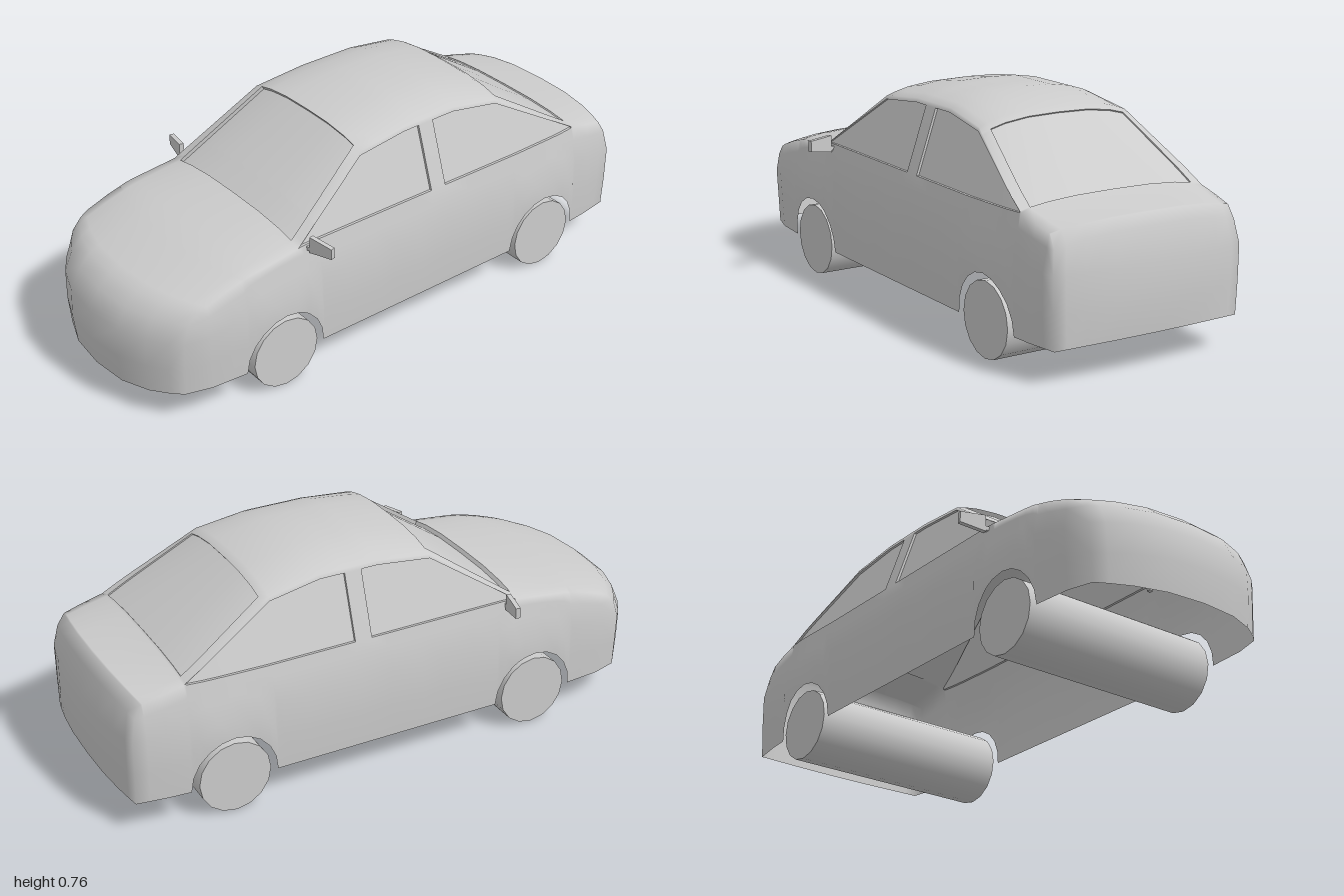
import * as THREE from 'three';
import { mergeVertices } from 'three/addons/utils/BufferGeometryUtils.js';

const material = new THREE.MeshStandardMaterial({ color: 0xcccccc, side: THREE.DoubleSide });

// Piecewise linear curve through ascending [input, output] pairs
function curve(pts) {
  return (t) => {
    if (t <= pts[0][0]) return pts[0][1];
    for (let i = 1; i < pts.length; i++) {
      const [a, va] = pts[i - 1], [b, vb] = pts[i];
      if (t <= b) return va + ((vb - va) * (t - a)) / (b - a);
    }
    return pts[pts.length - 1][1];
  };
}
const lerp = THREE.MathUtils.lerp;

// Body lines as functions of z
const roofline = curve([[-0.95, 0.485], [-0.78, 0.51], [-0.45, 0.725], [-0.27, 0.76], [-0.06, 0.76],
  [0.06, 0.745], [0.13, 0.73], [0.43, 0.522], [0.65, 0.485], [0.83, 0.44], [0.92, 0.405]]);
const belt = curve([[-0.92, 0.455], [-0.78, 0.49], [-0.5, 0.485], [0.4, 0.49], [0.62, 0.465], [0.74, 0.435], [0.81, 0.405]]);
const railCurve = curve([[-0.775, 0.49], [-0.45, 0.685], [-0.27, 0.715], [-0.06, 0.715], [0.13, 0.695], [0.43, 0.486]]);
const rail = (z) => (z > 0.42 || z < -0.77 ? belt(z) : Math.max(belt(z), railCurve(z)));
const bow = curve([[-0.915, -0.03], [-0.775, 0], [0.43, 0], [0.815, 0.1]]);
const plan = curve([[-0.96, 0.92], [-0.85, 0.965], [-0.7, 1], [0.6, 1], [0.78, 0.96], [0.87, 0.89]]);
const flank = curve([[0.1, 0.37], [0.32, 0.382], [0.49, 0.348]]);
const sideX = (y, z) => flank(y) * plan(z);

// Stations along the car, with extra ones around the wheel arches
const AXLES = [0.5, -0.625], ARCH = 0.15;
const archStations = AXLES.flatMap((c) => Array.from({ length: 11 }, (_, i) => c + ARCH * Math.cos((i * Math.PI) / 10)));
const stations = [0.865, 0.78, 0.7, 0.43, 0.25, 0.13, 0.06, -0.06, -0.12, -0.18, -0.27, -0.36, -0.45,
  -0.85, -0.91, -0.955, ...archStations].sort((a, b) => b - a);
const LAST = stations.length - 1;

function sill(z) {
  for (const c of AXLES) {
    const d = (z - c) / ARCH;
    if (Math.abs(d) < 1) return 0.11 + 0.165 * Math.sqrt(1 - d * d);
  }
  return 0.11;
}

const HEIGHTS = [0, 0.32, 0.66, 0.88, 1];
const ACROSS = [1, 0.89, 0.7, 0.4, 0, -0.4, -0.7, -0.89, -1];
const mirrorX = ([x, y, z]) => [-x, y, z];

// One side of a section: sill up to belt, then window band up to the roof rail
function flankPoints(k) {
  const lean = k === 0 ? [0, 0, 0, -0.02, -0.055] : k === LAST ? [0, 0, 0, 0.015, 0.04] : [0, 0, 0, 0, 0];
  const zTop = stations[k] + lean[4], by = belt(zTop), y0 = sill(stations[k]);
  const pts = HEIGHTS.map((h, r) => {
    const z = stations[k] + lean[r], y = lerp(y0, by, h);
    return [sideX(y, z), y, z];
  });
  const bx = pts[4][0], ry = rail(zTop), rx = bx - (0.075 * (ry - by)) / 0.22;
  for (const t of [0.94, 1]) pts.push([lerp(bx, rx, t), lerp(by, ry, t), zTop]);
  return pts;
}

// Crowned row from one edge point over a centre height and depth
const crownRow = ([x, y, z], yc, zc) => ACROSS.map((f) => {
  const a = Math.abs(f);
  return [x * f, lerp(yc, y, a ** 3), lerp(zc, z, a ** 2.5)];
});

// Full section from the left sill over the roof to the right sill
function section(k) {
  const side = flankPoints(k), edge = side[6], zc = edge[2] + bow(edge[2]);
  return [...side, ...crownRow(edge, roofline(zc), zc).slice(1, -1), ...side.map(mirrorX).reverse()];
}

function quad(out, a, b, c, d) {
  out.push(...a, ...c, ...b, ...b, ...c, ...d);
}

function makeMesh(name, positions, smooth = true) {
  let g = new THREE.BufferGeometry();
  g.setAttribute('position', new THREE.Float32BufferAttribute(positions, 3));
  if (smooth) g = mergeVertices(g, 1e-5);
  g.computeVertexNormals();
  const mesh = new THREE.Mesh(g, material);
  mesh.name = name;
  return mesh;
}

function addGrid(out, rows, skip = () => false) {
  for (let k = 0; k + 1 < rows.length; k++)
    for (let j = 0; j + 1 < rows[k].length; j++)
      if (!skip(k, j)) quad(out, rows[k][j], rows[k][j + 1], rows[k + 1][j], rows[k + 1][j + 1]);
}

// Glass areas: z range, section columns and how far the pane sits inside the shell
const WINDOWS = [
  { name: 'windshield', z: [0.43, 0.13], j: [7, 13], inset: [0, -0.012, -0.008] },
  { name: 'rearWindow', z: [-0.475, -0.77], j: [7, 13], inset: [0, -0.004, 0.003] },
];
for (const [s, side, j] of [[1, 'Left', 4], [-1, 'Right', 15]]) {
  WINDOWS.push({ name: 'frontWindow' + side, z: [0.43, -0.12], j: [j, j + 1], inset: [-0.009 * s, 0, 0] });
  WINDOWS.push({ name: 'backWindow' + side, z: [-0.18, -0.77], j: [j, j + 1], inset: [-0.009 * s, 0, 0] });
}
const inWindow = (w, k, j) => k >= 0 && k < LAST && stations[k] <= w.z[0] + 1e-4 &&
  stations[k + 1] >= w.z[1] - 1e-4 && j >= w.j[0] && j < w.j[1];

export function createModel() {
  const car = new THREE.Group();
  car.name = 'car';
  const rows = stations.map((_, k) => section(k));

  // Body shell: lofted sections closed by a bowed nose and tail, open underneath
  const shell = [];
  addGrid(shell, rows, (k, j) => WINDOWS.some((w) => inWindow(w, k, j)));
  const noseProfile = [[0.095, 0.985], [0.2, 0.998], [0.3, 0.992], [0.37, 0.955]];
  const tailProfile = [[0.12, -0.988], [0.22, -0.998], [0.34, -0.994], [0.45, -0.975]];
  const cap = (row, profile) => [...profile.map(([y, z], r) => crownRow(row[r], y, z)), row.slice(6, 15)];
  addGrid(shell, cap(rows[0], noseProfile));
  addGrid(shell, cap(rows[LAST], tailProfile).reverse());
  car.add(makeMesh('bodyShell', shell));

  // Recessed panes with a thin reveal around each
  const reveal = [];
  for (const w of WINDOWS) {
    const inner = rows.map((row) => row.map((p) => p.map((v, i) => v + w.inset[i])));
    const pane = [];
    addGrid(pane, inner, (k, j) => !inWindow(w, k, j));
    car.add(makeMesh(w.name, pane));
    for (let k = 0; k < LAST; k++) for (let j = w.j[0]; j < w.j[1]; j++) {
      if (!inWindow(w, k, j)) continue;
      const sides = [[-1, 0, 0, 0, 0, 1], [1, 0, 1, 0, 1, 1], [0, -1, 0, 0, 1, 0], [0, 1, 0, 1, 1, 1]];
      for (const [dk, dj, k0, j0, k1, j1] of sides)
        if (!inWindow(w, k + dk, j + dj))
          quad(reveal, rows[k + k0][j + j0], rows[k + k1][j + j1], inner[k + k0][j + j0], inner[k + k1][j + j1]);
    }
  }
  car.add(makeMesh('windowReveals', reveal, false));

  // Each axle carries one full-width roller as its wheel pair
  AXLES.forEach((z, i) => {
    const wheel = new THREE.Mesh(new THREE.CylinderGeometry(0.125, 0.125, 0.74, 16), material);
    wheel.name = i ? 'rearWheels' : 'frontWheels';
    wheel.rotation.z = Math.PI / 2;
    wheel.position.set(0, 0.125, z);
    car.add(wheel);
  });

  // Door mirrors: tapered housing on a short stalk
  for (const s of [1, -1]) {
    const mirror = new THREE.Group();
    mirror.name = s > 0 ? 'mirrorLeft' : 'mirrorRight';
    const outline = [[0, 0.008], [0.09, 0], [0.09, 0.058], [0, 0.045]];
    const shape = new THREE.Shape(outline.map(([x, y]) => new THREE.Vector2(s * x, s > 0 ? 0.058 - y : 0.058 - y)));
    const housing = new THREE.Mesh(new THREE.ExtrudeGeometry(shape, { depth: 0.016, bevelEnabled: false }), material);
    housing.name = 'mirrorHousing';
    housing.scale.x = -1;
    housing.position.x = s * 0.09;
    const stalk = new THREE.Mesh(new THREE.BoxGeometry(0.035, 0.014, 0.014), material);
    stalk.name = 'mirrorStalk';
    stalk.position.set(-s * 0.008, 0.012, 0.008);
    mirror.add(housing, stalk);
    mirror.position.set(s * 0.36, 0.464, 0.382);
    mirror.rotation.y = s * 0.2;
    car.add(mirror);
  }
  return car;
}
